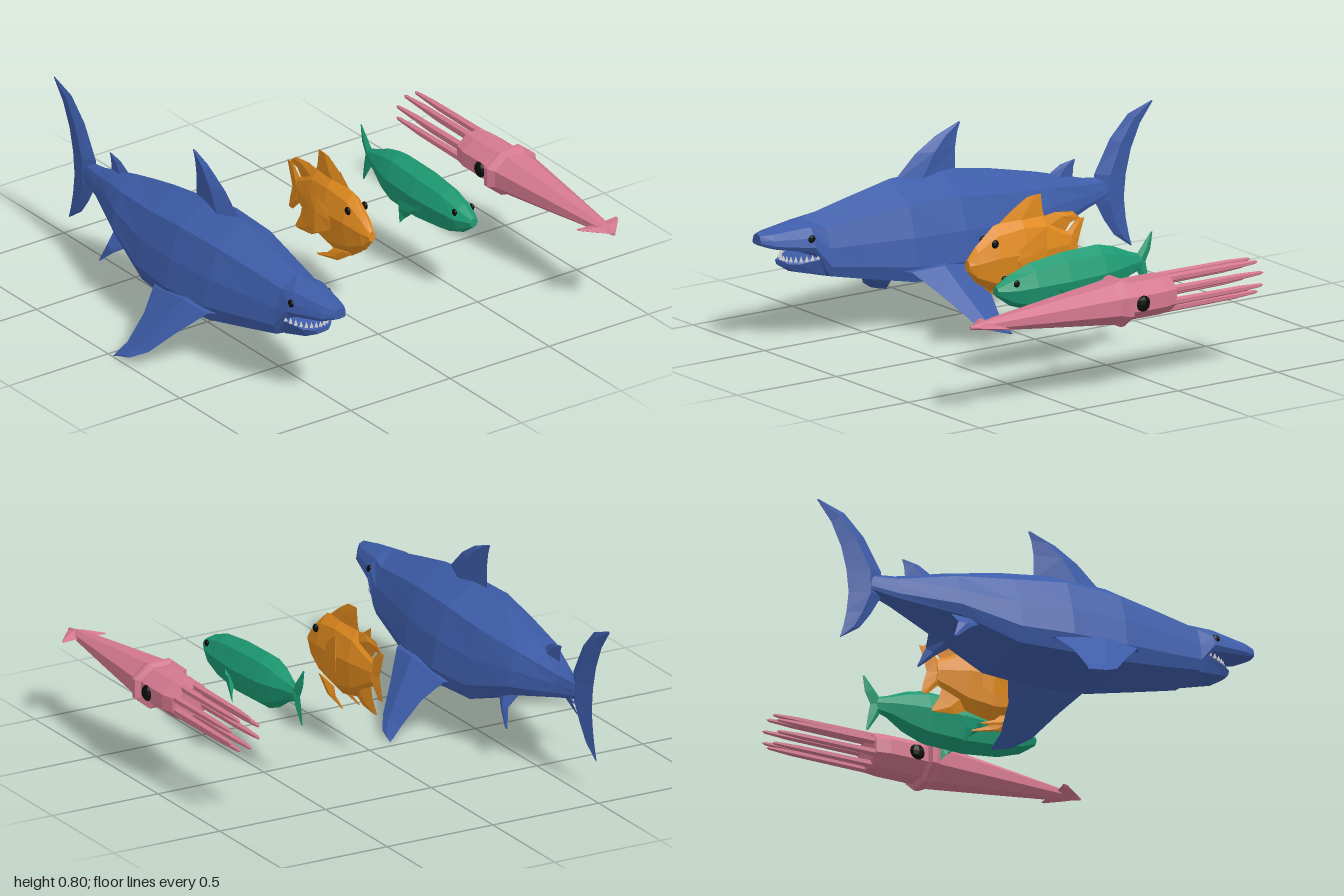
import * as THREE from 'three';

const mat = (color, side = THREE.FrontSide) =>
  new THREE.MeshStandardMaterial({ color, flatShading: true, roughness: 0.8, side });
const blue = mat(0x3d5ca8), orange = mat(0xe08a1e), green = mat(0x1c9a72);
const pink = mat(0xd4788f), black = mat(0x0c0c0c), white = mat(0xe0e0dc);

function add(parent, name, geometry, material) {
  const mesh = new THREE.Mesh(geometry, material);
  mesh.name = name;
  parent.add(mesh);
  return mesh;
}

// Closed faceted skin over equal-length rings of [x, y, z]; turned outward by signed volume.
function skin(rings) {
  const pos = [], n = rings[0].length;
  const centre = r => [0, 1, 2].map(k => r.reduce((s, p) => s + p[k], 0) / n);
  const first = centre(rings[0]), last = centre(rings[rings.length - 1]);
  const tris = [];
  for (let j = 0; j < n; j++) {
    const k = (j + 1) % n;
    for (let i = 0; i + 1 < rings.length; i++) {
      const a = rings[i][j], b = rings[i][k], c = rings[i + 1][k], d = rings[i + 1][j];
      tris.push([a, b, c], [a, c, d]);
    }
    tris.push([first, rings[0][k], rings[0][j]]);
    tris.push([last, rings[rings.length - 1][j], rings[rings.length - 1][k]]);
  }
  const v = p => new THREE.Vector3(...p).sub(new THREE.Vector3(...first));
  const volume = tris.reduce((s, [a, b, c]) => s + v(a).dot(v(b).cross(v(c))), 0);
  for (const [a, b, c] of tris) pos.push(...a, ...(volume > 0 ? b : c), ...(volume > 0 ? c : b));
  const g = new THREE.BufferGeometry();
  g.setAttribute('position', new THREE.Float32BufferAttribute(pos, 3));
  g.computeVertexNormals();
  return g;
}

// Body from stations [z, bottom, top, halfWidth] and half a section running top to bottom.
function body(stations, half) {
  const section = [...half, ...half.slice(1, -1).reverse().map(([u, v]) => [-u, v])];
  return skin(stations.map(([z, b, t, w]) => section.map(([u, v]) => [u * w, b + v * (t - b), z])));
}

// Fin from rows [leading xyz, trailing xyz, half thickness], diamond in section.
function fin(rows) {
  const vec = (r, o) => new THREE.Vector3(r[o], r[o + 1], r[o + 2]);
  const end = rows[rows.length - 1];
  const span = vec(end, 0).add(vec(end, 3)).sub(vec(rows[0], 0)).sub(vec(rows[0], 3));
  const normal = vec(rows[0], 3).sub(vec(rows[0], 0)).cross(span).normalize();
  return skin(rows.map(r => {
    const lead = vec(r, 0), trail = vec(r, 3), mid = lead.clone().lerp(trail, 0.4);
    return [lead, mid.clone().addScaledVector(normal, r[6]), trail,
      mid.clone().addScaledVector(normal, -r[6])].map(p => p.toArray());
  }));
}
// Upright fin on the centre plane: rows [leadZ, leadY, trailZ, trailY, half thickness].
const midFin = rows => fin(rows.map(([a, b, c, d, t]) => [0, b, a, 0, d, c, t]));

// The same fin on both sides of the body.
function pairFins(parent, name, rows, material) {
  for (const s of [1, -1]) {
    const mirrored = rows.map(r => [s * r[0], r[1], r[2], s * r[3], r[4], r[5], r[6]]);
    add(parent, (s > 0 ? 'left' : 'right') + name, fin(mirrored), material);
  }
}

function eyes(parent, x, y, z, r) {
  for (const s of [1, -1]) {
    const eye = add(parent, s > 0 ? 'leftEye' : 'rightEye', new THREE.SphereGeometry(r, 8, 6), black);
    eye.position.set(s * x, y, z);
    eye.scale.x = 0.5;
  }
}

function animal(name, x) {
  const g = new THREE.Group();
  g.name = name;
  g.position.x = x;
  return g;
}

function shark() {
  const g = animal('shark', -0.555);
  const half = [[0, 1], [0.67, 0.8], [0.9, 0.5], [1, 0.22], [0.88, 0.06], [0, 0]];
  add(g, 'sharkBody', body([
    [1, 0.44, 0.49, 0.03], [0.95, 0.42, 0.5, 0.065], [0.78, 0.385, 0.525, 0.11], [0.71, 0.27, 0.535, 0.125],
    [0.55, 0.235, 0.57, 0.155], [0.33, 0.19, 0.615, 0.2], [0.08, 0.175, 0.62, 0.215], [-0.15, 0.18, 0.585, 0.19],
    [-0.4, 0.28, 0.53, 0.14], [-0.64, 0.34, 0.465, 0.05], [-0.76, 0.37, 0.45, 0.025]], half), blue);
  add(g, 'lowerJaw', body([
    [0.88, 0.33, 0.352, 0.04], [0.84, 0.305, 0.355, 0.075], [0.74, 0.278, 0.38, 0.112], [0.64, 0.255, 0.4, 0.12]],
  [[0, 1], [0.9, 1], [1, 0.85], [0.75, 0.15], [0, 0]]), blue);
  // Teeth around the jaw rim
  for (let i = -7; i <= 7; i++) {
    const a = i * 0.19;
    const tooth = add(g, 'tooth', new THREE.ConeGeometry(0.01, 0.026, 4), white);
    tooth.position.set(0.103 * Math.sin(a), 0.382 - 0.018 * Math.cos(a), 0.73 + 0.135 * Math.cos(a));
  }
  eyes(g, 0.094, 0.45, 0.79, 0.019);
  add(g, 'dorsalFin', midFin([[0.32, 0.59, 0.0, 0.59, 0.032], [0.2, 0.7, 0, 0.7, 0.025],
    [0.1, 0.76, -0.01, 0.76, 0.015], [-0.01, 0.8, -0.025, 0.8, 0.004]]), blue);
  add(g, 'rearDorsalFin', midFin([[-0.45, 0.495, -0.59, 0.46, 0.015], [-0.53, 0.54, -0.595, 0.52, 0.009],
    [-0.59, 0.55, -0.605, 0.55, 0.002]]), blue);
  add(g, 'tailFin', midFin([[-0.99, 0.74, -0.995, 0.735, 0.002], [-0.87, 0.7, -0.93, 0.65, 0.01],
    [-0.78, 0.61, -0.885, 0.55, 0.018], [-0.7, 0.47, -0.86, 0.45, 0.026], [-0.7, 0.36, -0.85, 0.35, 0.026],
    [-0.75, 0.27, -0.86, 0.26, 0.016], [-0.8, 0.2, -0.875, 0.19, 0.01], [-0.885, 0.14, -0.89, 0.14, 0.002]]), blue);
  pairFins(g, 'PectoralFin', [[0.15, 0.27, 0.42, 0.15, 0.25, -0.06, 0.035], [0.21, 0.27, 0.37, 0.21, 0.24, -0.01, 0.028],
    [0.3, 0.165, 0.27, 0.29, 0.16, 0.035, 0.018], [0.38, 0.07, 0.19, 0.38, 0.06, 0.045, 0.011],
    [0.425, 0.03, 0.12, 0.425, 0.02, 0.033, 0.007], [0.44, 0.01, 0.035, 0.44, 0.005, 0.028, 0.003]], blue);
  pairFins(g, 'PelvicFin', [[0.11, 0.29, -0.28, 0.1, 0.3, -0.43, 0.014], [0.15, 0.23, -0.37, 0.145, 0.25, -0.42, 0.009],
    [0.17, 0.17, -0.44, 0.165, 0.17, -0.45, 0.002]], blue);
  return g;
}

const fishHalf = [[0, 1], [0.6, 0.86], [1, 0.55], [0.7, 0.15], [0, 0]];

function reefFish() {
  const g = animal('reefFish', 0.055);
  add(g, 'reefFishBody', body([
    [0.38, 0.36, 0.41, 0.018], [0.34, 0.31, 0.46, 0.035], [0.25, 0.255, 0.535, 0.055], [0.12, 0.225, 0.56, 0.065],
    [0, 0.25, 0.54, 0.05], [-0.08, 0.31, 0.48, 0.028], [-0.13, 0.34, 0.45, 0.014]], fishHalf), orange);
  eyes(g, 0.043, 0.47, 0.27, 0.018);
  add(g, 'frontDorsalFin', midFin([[0.25, 0.52, -0.02, 0.51, 0.016], [0.15, 0.59, 0, 0.56, 0.011],
    [0.08, 0.63, 0.01, 0.635, 0.003]]), orange);
  add(g, 'rearDorsalFin', midFin([[0.04, 0.53, -0.1, 0.44, 0.014], [-0.06, 0.545, -0.14, 0.49, 0.009],
    [-0.15, 0.535, -0.19, 0.5, 0.002]]), orange);
  add(g, 'analFin', midFin([[0.04, 0.27, -0.1, 0.35, 0.014], [-0.04, 0.225, -0.12, 0.28, 0.009],
    [-0.13, 0.215, -0.155, 0.22, 0.002]]), orange);
  add(g, 'tailFin', midFin([[-0.17, 0.5, -0.21, 0.5, 0.002], [-0.11, 0.44, -0.19, 0.44, 0.01],
    [-0.1, 0.39, -0.175, 0.39, 0.012], [-0.11, 0.35, -0.19, 0.34, 0.01], [-0.17, 0.29, -0.2, 0.29, 0.002]]), orange);
  pairFins(g, 'PectoralFin', [[0.055, 0.42, 0.17, 0.055, 0.34, 0.16, 0.005], [0.08, 0.48, 0.1, 0.08, 0.31, 0.09, 0.004],
    [0.085, 0.52, 0.04, 0.08, 0.33, 0.04, 0.002]], orange);
  pairFins(g, 'PelvicFin', [[0.025, 0.27, 0.28, 0.025, 0.25, 0.15, 0.008], [0.035, 0.21, 0.19, 0.035, 0.22, 0.12, 0.006],
    [0.04, 0.185, 0.06, 0.04, 0.19, 0.05, 0.002]], orange);
  return g;
}

function slimFish() {
  const g = animal('slimFish', 0.46);
  add(g, 'slimFishBody', body([
    [0.53, 0.37, 0.41, 0.02], [0.46, 0.32, 0.45, 0.055], [0.36, 0.285, 0.485, 0.07], [0.2, 0.265, 0.505, 0.08],
    [0.02, 0.27, 0.51, 0.076], [-0.06, 0.3, 0.49, 0.06], [-0.14, 0.35, 0.455, 0.033], [-0.2, 0.37, 0.435, 0.015]],
  fishHalf), green);
  eyes(g, 0.044, 0.42, 0.455, 0.015);
  add(g, 'tailFin', midFin([[-0.25, 0.52, -0.26, 0.52, 0.002], [-0.2, 0.46, -0.25, 0.45, 0.011],
    [-0.16, 0.41, -0.225, 0.4, 0.015], [-0.19, 0.35, -0.235, 0.35, 0.011], [-0.235, 0.28, -0.245, 0.28, 0.002]]), green);
  pairFins(g, 'PectoralFin', [[0.065, 0.38, 0.27, 0.065, 0.32, 0.2, 0.006], [0.095, 0.37, 0.22, 0.09, 0.29, 0.17, 0.005],
    [0.115, 0.385, 0.16, 0.1, 0.265, 0.15, 0.002]], green);
  return g;
}

function squid() {
  const g = animal('squid', 0.865);
  g.position.y = 0.39;
  // Eight-sided tube from stations [z, halfWidth, halfHeight]
  const tube = stations => skin(stations.map(([z, w, h]) => Array.from({ length: 8 }, (_, i) => {
    const a = (i + 0.5) * Math.PI / 4;
    return [w * 1.08 * Math.cos(a), h * 1.08 * Math.sin(a), z];
  })));
  add(g, 'mantle', tube([[0.95, 0.006, 0.006], [0.83, 0.033, 0.025], [0.55, 0.068, 0.055],
    [0.26, 0.103, 0.085], [0.23, 0.122, 0.098], [0.21, 0.122, 0.098], [0.2, 0.09, 0.08]]), pink);
  add(g, 'head', tube([[0.23, 0.095, 0.075], [0.17, 0.1, 0.078], [0.03, 0.1, 0.078],
    [-0.03, 0.085, 0.075], [-0.035, 0.07, 0.06]]), pink);
  pairFins(g, 'TailFin', [[0, 0, 0.955, 0, 0, 0.8, 0.014], [0.035, 0, 0.915, 0.035, 0, 0.83, 0.012],
    [0.095, 0, 0.845, 0.1, 0, 0.822, 0.003]], pink);
  eyes(g, 0.1, 0, 0.15, 0.034);
  // Ring of eight tapering arms
  const profile = [[0, -0.48], [0.008, -0.465], [0.014, -0.36], [0.017, -0.02], [0, 0]];
  for (let i = 0; i < 8; i++) {
    const a = (i + 0.5) * Math.PI / 4;
    const arm = add(g, 'arm', new THREE.LatheGeometry(profile.map(p => new THREE.Vector2(...p)), 6), pink);
    arm.rotation.x = Math.PI / 2;
    arm.position.set(0.071 * Math.cos(a), 0.068 * Math.sin(a), 0);
  }
  return g;
}

export function createModel() {
  const model = new THREE.Group();
  model.name = 'seaAnimals';
  model.add(shark(), reefFish(), slimFish(), squid());
  return model;
}
